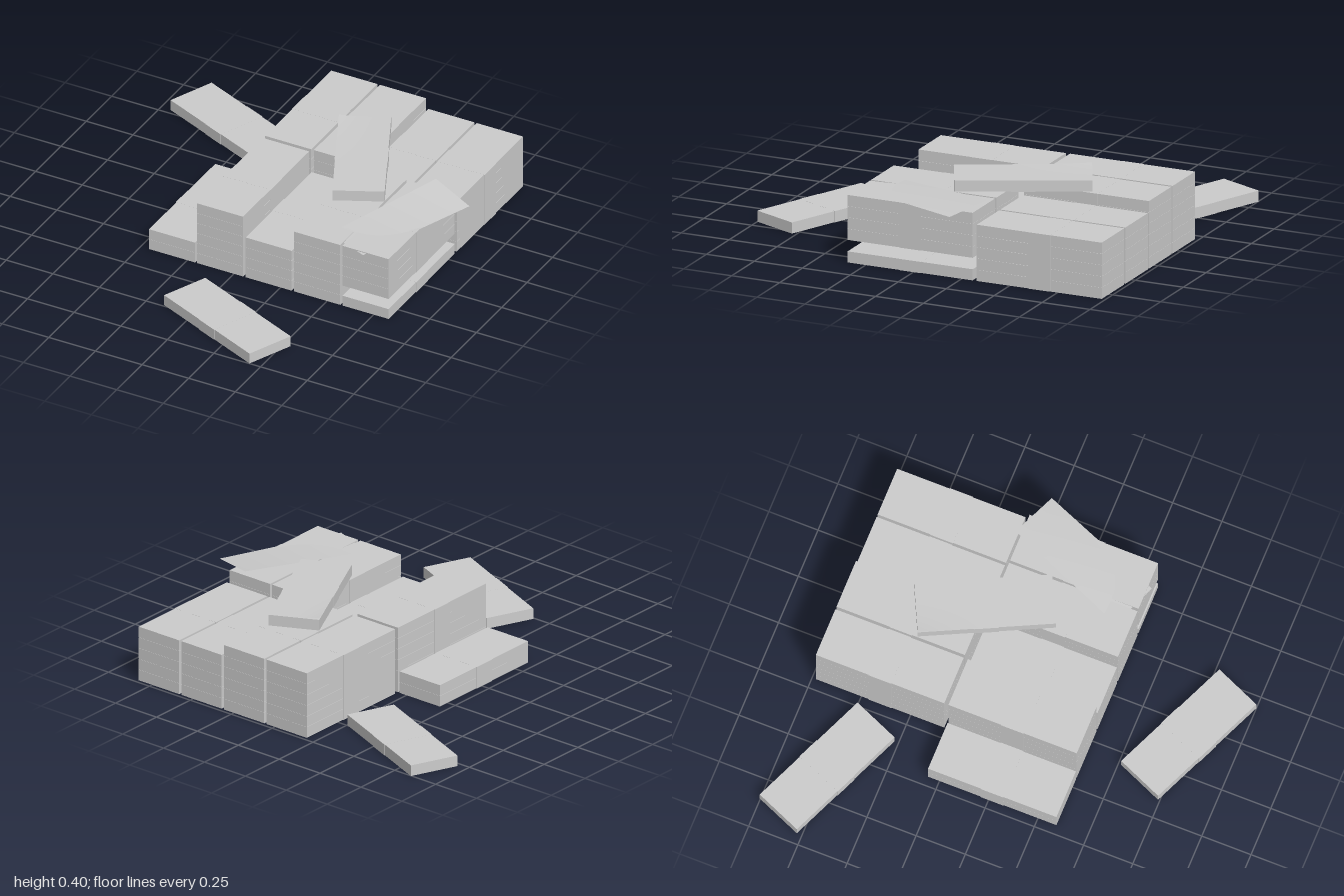
import * as THREE from 'three';

const W = 0.247, L = 0.652, H = 0.0558;
const BAND = 0.115;

export function createModel() {
  const model = new THREE.Group();
  const paper = new THREE.MeshStandardMaterial({ color: 0xcccccc, flatShading: true });
  const thin = new THREE.MeshStandardMaterial({ color: 0xcccccc, side: THREE.DoubleSide });
  const packGeo = new THREE.BoxGeometry(W, H - 0.0008, L);
  const bandGeo = new THREE.BoxGeometry(W + 0.005, H, BAND);

  // One bundle of notes with a paper band around its middle
  function addPack(name, x, y, z, turn = 0) {
    const pack = new THREE.Group();
    pack.name = name;
    const notes = new THREE.Mesh(packGeo, paper);
    notes.name = 'notes';
    const band = new THREE.Mesh(bandGeo, paper);
    band.name = 'paperBand';
    pack.add(notes, band);
    pack.position.set(x, y + H / 2, z);
    pack.rotation.y = turn;
    model.add(pack);
  }

  // A single sheet with one back corner lifted and the far end drooping
  function addSheet(name, x, y, z, turn, lift, power, droop) {
    const geo = new THREE.PlaneGeometry(W, L, 10, 16).rotateX(-Math.PI / 2);
    const p = geo.attributes.position;
    for (let i = 0; i < p.count; i++) {
      const u = 0.5 - p.getX(i) / W;
      const v = 0.5 - p.getZ(i) / L;
      p.setY(i, lift * Math.pow(u * v, power) - droop * (1 - v));
    }
    geo.computeVertexNormals();
    const sheet = new THREE.Mesh(geo, thin);
    sheet.name = name;
    sheet.position.set(x, y, z);
    sheet.rotation.y = turn;
    model.add(sheet);
  }

  // Stacked bundles: each string marks the filled layers from the bottom up
  const columns = [-0.331, -0.074, 0.187, 0.447, 0.707];
  const rows = [
    { name: 'frontRow', z: 0.018, layers: ['11', '111111', '1111', '111111', '101111'] },
    { name: 'backRow', z: -0.655, layers: ['', '111111', '111111', '11111', '11111'] },
  ];
  for (const row of rows) {
    row.layers.forEach((stack, c) => {
      [...stack].forEach((filled, k) => {
        if (filled === '1') addPack(row.name + 'Pack', columns[c], k * H, row.z);
      });
    });
  }

  // Loose bundles on the ground and one lying on top
  addPack('looseFrontPack', 0.19, 0, 0.757, 1.163);
  addPack('looseBackPack', -0.6, 0, -0.762, 1.168);
  addPack('topPack', 0.32, 6 * H, -0.33, 0.45);

  // Loose sheets
  addSheet('curledTopSheet', 0.32, 7 * H + 0.0008, -0.33, 0.45, 0.008, 4, 0);
  addSheet('looseSheet', 0.71, 6 * H + 0.003, 0.015, -0.38, 0.032, 1, 0.008);

  return model;
}
